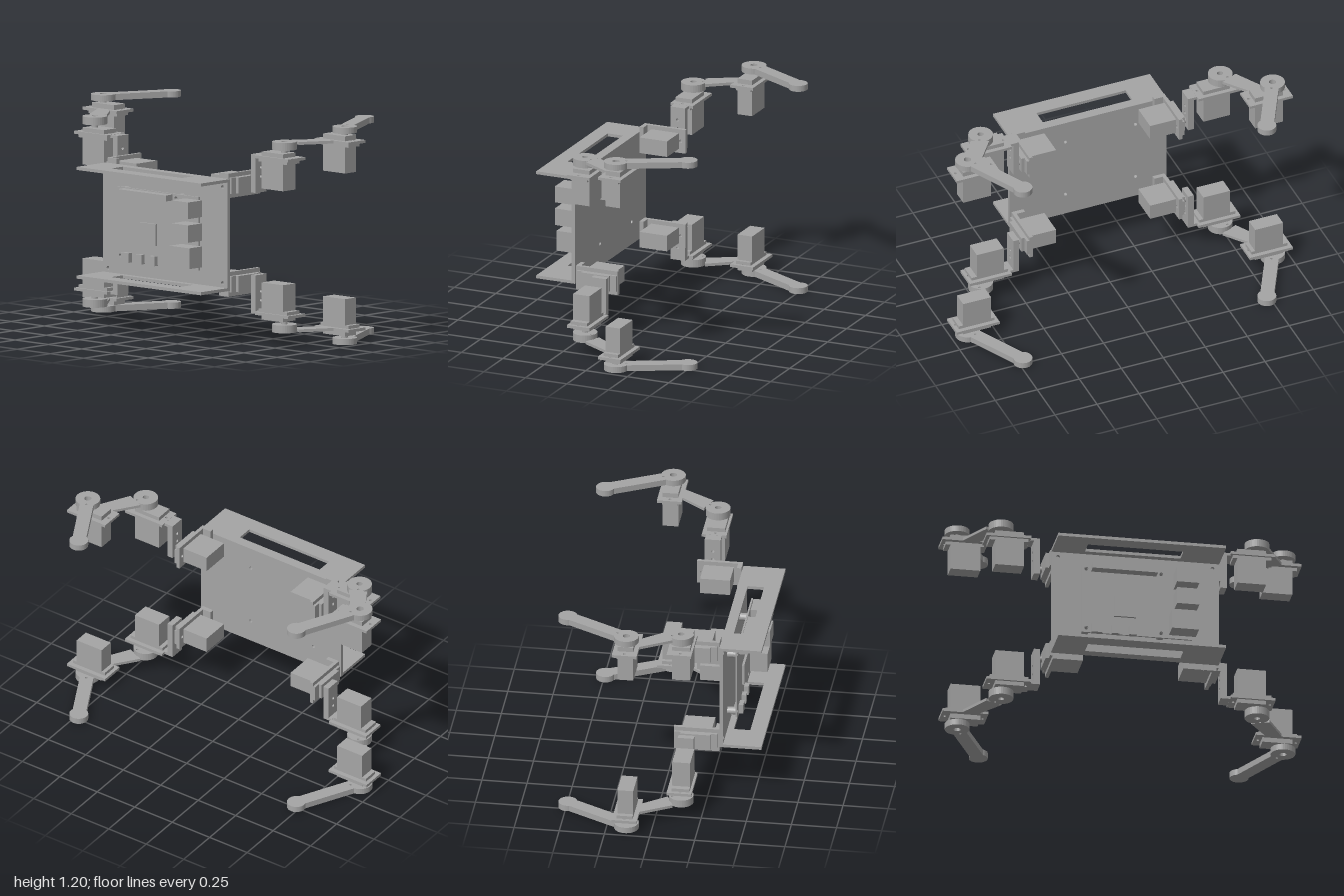
import * as THREE from 'three';

const grey = new THREE.MeshStandardMaterial({ color: 0xa5a5a5 });
grey.name = 'plain grey';
const H = 1.204; // overall height, legs mirror about its middle

function add(group, name, geo) {
  const m = new THREE.Mesh(geo, grey);
  m.name = name;
  group.add(m);
  return m;
}

// Box given by its ranges along x, y and z
function box(group, name, [x0, x1], [y0, y1], [z0, z1]) {
  const g = new THREE.BoxGeometry(Math.abs(x1 - x0), Math.abs(y1 - y0), Math.abs(z1 - z0));
  add(group, name, g).position.set((x0 + x1) / 2, (y0 + y1) / 2, (z0 + z1) / 2);
}

function rect(x0, y0, x1, y1) {
  const a = Math.min(x0, x1), b = Math.max(x0, x1);
  return new THREE.Shape([[a, y0], [b, y0], [b, y1], [a, y1]].map(p => new THREE.Vector2(...p)));
}

function hole(shape, x, y, r) {
  shape.holes.push(new THREE.Path().absarc(x, y, r, 0, Math.PI * 2, true));
}

const extrude = (shape, depth) =>
  new THREE.ExtrudeGeometry(shape, { depth, bevelEnabled: false, curveSegments: 16 });

// Shape drawn in (x, z), filling the height from y0 to y1
function slab(group, name, shape, ya, yb) {
  const g = extrude(shape, Math.abs(yb - ya)).rotateX(Math.PI / 2);
  add(group, name, g).position.y = Math.max(ya, yb);
}

// Outline of a hub at a with a straight arm of half width w to a round tip at b
function linkShape(a, R, b, r, w) {
  const t = Math.atan2(b[1] - a[1], b[0] - a[0]);
  const p = Math.asin(w / R), q = Math.asin(w / r);
  const s = new THREE.Shape();
  s.absarc(a[0], a[1], R, t + p, t + Math.PI * 2 - p, false);
  s.absarc(b[0], b[1], r, t - Math.PI + q, t + Math.PI - q, false);
  return s;
}

// One leg; sx picks the side, up picks the upper or lower pair
function leg(sx, up) {
  const g = new THREE.Group();
  g.name = (up ? 'upper' : 'lower') + (sx > 0 ? 'Left' : 'Right') + 'Leg';
  const X = (a, b) => [sx * a, sx * b];
  const y = v => (up ? v : H - v);
  const Y = (a, b) => [y(a), y(b)];

  // Hip bracket: flange on the back plate and an upright side plate with screw holes
  box(g, 'hipFlange', X(0.385, 0.455), Y(0.807, 0.943), [0.285, 0.31]);
  const side = rect(-0.31, Math.min(...Y(0.807, 0.943)), -0.057, Math.max(...Y(0.807, 0.943)));
  hole(side, -0.287, y(0.875), 0.009);
  hole(side, -0.085, y(0.875), 0.009);
  add(g, 'hipPlate', extrude(side, 0.02).rotateY(Math.PI / 2)).position.x = sx > 0 ? 0.435 : -0.455;

  // Hip servo
  box(g, 'hipServo', X(0.28, 0.487), Y(0.83, 0.92), [0.096, 0.262]);
  box(g, 'hipServoFlange', X(0.455, 0.469), Y(0.83, 0.92), [0.06, 0.3]);
  const axle = add(g, 'hipAxle', new THREE.CylinderGeometry(0.018, 0.018, 0.06, 20).rotateZ(Math.PI / 2));
  axle.position.set(sx * 0.5, y(0.873), 0.135);

  // Angled bracket between hip and shoulder servo
  const upright = rect(-0.178, Math.min(...Y(0.83, 1.043)), -0.09, Math.max(...Y(0.83, 1.043)));
  hole(upright, -0.135, y(0.92), 0.009);
  hole(upright, -0.135, y(0.97), 0.009);
  add(g, 'shoulderUpright', extrude(upright, 0.034).rotateY(Math.PI / 2)).position.x = sx > 0 ? 0.503 : -0.537;
  box(g, 'shoulderBridge', X(0.53, 0.56), Y(1.027, 1.043), [0.09, 0.178]);

  // Servos hanging from holed plates: shoulder and knee
  const servo = (name, px, pz, bx, bz, top, bottom, fl, cap, shaftX, shaftZ, shaftTop) => {
    const plate = rect(sx * px[0], pz[0], sx * px[1], pz[1]);
    const mid = (bz[0] + bz[1]) / 2;
    for (const hx of [px[0] + 0.022, px[1] - 0.022]) hole(plate, sx * hx, mid, 0.008);
    slab(g, name + 'Plate', plate, y(top - 0.016), y(top));
    box(g, name + 'Servo', X(...bx), Y(bottom, cap), bz);
    box(g, name + 'ServoFlange', X(...fl), Y(top - 0.034, top - 0.016), bz);
    const h = shaftTop - cap + 0.01;
    add(g, name + 'Shaft', new THREE.CylinderGeometry(0.018, 0.018, h, 20))
      .position.set(sx * shaftX, y(shaftTop - h / 2), shaftZ);
  };
  servo('shoulder', [0.556, 0.805], [0.066, 0.203], [0.594, 0.754], [0.09, 0.19],
    1.044, 0.862, [0.57, 0.785], 1.067, 0.713, 0.135, 1.092);
  servo('knee', [0.745, 1.0], [-0.21, -0.072], [0.786, 0.952], [-0.185, -0.097],
    1.129, 0.95, [0.765, 0.978], 1.156, 0.908, -0.141, 1.175);

  // Thigh: thick hub with a thin arm running to the knee plate
  const hub = new THREE.Shape().absarc(sx * 0.713, 0.135, 0.068, 0, Math.PI * 2, false);
  hole(hub, sx * 0.713, 0.135, 0.017);
  hole(hub, sx * 0.738, 0.088, 0.007);
  slab(g, 'thighHub', hub, y(1.086), y(1.129));
  const dx = 0.047, dz = 0.03;
  const arm = new THREE.Shape([
    [0.742 + dx, 0.078 + dz - 0.01], [0.742 - dx, 0.078 - dz + 0.01], [0.8, -0.08], [0.893, -0.08],
  ].map(([a, b]) => new THREE.Vector2(sx * a, b)));
  slab(g, 'thighArm', arm, y(1.113), y(1.129));

  // Shin: hub tapering to an arm with a round foot
  const shin = linkShape([sx * 0.908, -0.141], 0.068, [sx * 0.726, -0.491], 0.052, 0.038);
  hole(shin, sx * 0.908, -0.141, 0.02);
  hole(shin, sx * 0.882, -0.192, 0.007);
  slab(g, 'shin', shin, y(1.17), y(1.204));
  return g;
}

function body() {
  const g = new THREE.Group();
  g.name = 'body';
  const posts = [];
  for (const x of [-0.283, 0.134]) for (const y of [0.783, 0.426]) posts.push([x, y]);

  // Back plate with mounting holes
  const back = rect(-0.467, 0.295, 0.467, 0.914);
  for (const [x, y] of posts) hole(back, x, y, 0.01);
  for (const x of [-0.43, 0.43]) for (const y of [0.336, 0.868]) hole(back, x, y, 0.011);
  add(g, 'backPlate', extrude(back, 0.02)).position.z = 0.31;

  // Slotted top and bottom plates
  for (const [name, y] of [['topPlate', 0.897], ['bottomPlate', 0.295]]) {
    const s = rect(-0.467, 0.31, 0.467, 0.543);
    s.holes.push(rect(-0.287, 0.365, 0.245, 0.456));
    slab(g, name, s, y, y + 0.017);
  }

  // Circuit board on four posts
  const board = rect(-0.31, 0.4, 0.305, 0.806);
  for (const [x, y] of posts) {
    hole(board, x, y, 0.011);
    const ring = new THREE.Shape().absarc(x, y, 0.021, 0, Math.PI * 2, false);
    hole(ring, x, y, 0.01);
    add(g, 'boardPost', extrude(ring, 0.047)).position.z = 0.33;
  }
  add(g, 'circuitBoard', extrude(board, 0.01)).position.z = 0.377;

  // Board components: name, x range, y range, front z
  const parts = [
    ['pinHeader', [-0.257, 0.107], [0.768, 0.801], 0.44],
    ['upperPort', [0.203, 0.327], [0.698, 0.79], 0.495],
    ['middlePort', [0.203, 0.327], [0.567, 0.663], 0.495],
    ['lowerPort', [0.177, 0.327], [0.42, 0.535], 0.485],
    ['processor', [-0.13, -0.008], [0.505, 0.626], 0.4],
    ['powerSocket', [-0.257, -0.198], [0.395, 0.448], 0.412],
    ['smallSocket', [-0.145, -0.102], [0.395, 0.448], 0.412],
    ['smallSocket', [-0.048, -0.005], [0.395, 0.448], 0.412],
  ];
  for (const [name, x, y, z] of parts) box(g, name, x, y, [0.385, z]);
  return g;
}

export function createModel() {
  const model = new THREE.Group();
  model.name = 'fourLeggedRobot';
  model.add(body());
  for (const sx of [-1, 1]) for (const up of [true, false]) model.add(leg(sx, up));
  return model;
}
